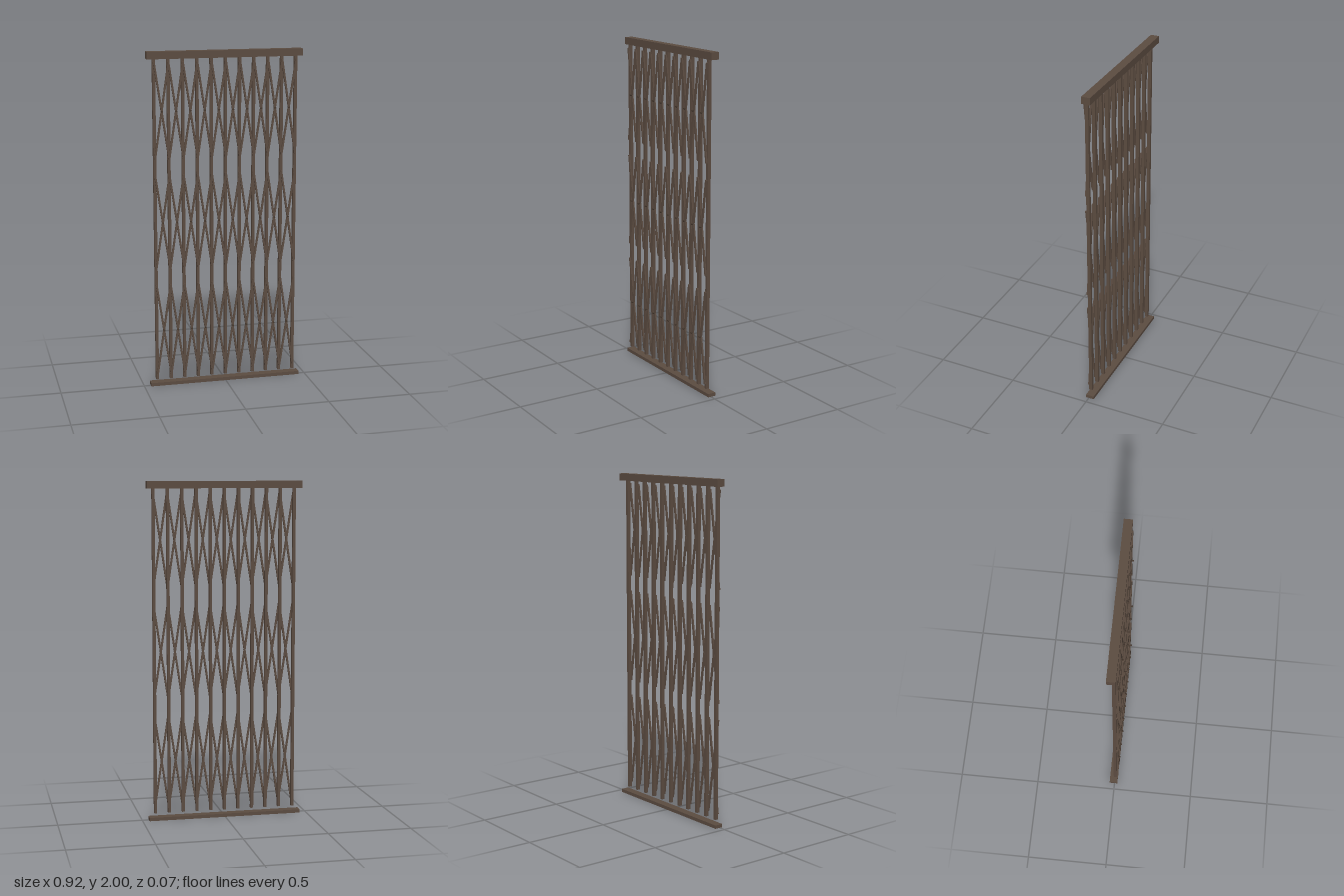
import * as THREE from 'three';

export function createModel() {
  const gate = new THREE.Group();
  gate.name = 'foldingGate';

  const iron = new THREE.MeshStandardMaterial({ color: 0x5c4c41 });
  iron.name = 'brown iron';
  const rivetIron = new THREE.MeshStandardMaterial({ color: 0x46392f });
  rivetIron.name = 'dark rivet iron';

  const add = (name, geometry, material, x, y, z) => {
    const mesh = new THREE.Mesh(geometry, material);
    mesh.name = name;
    mesh.position.set(x, y, z);
    gate.add(mesh);
    return mesh;
  };

  // Head and floor rails
  add('topRail', new THREE.BoxGeometry(0.92, 0.042, 0.05), iron, 0, 1.979, -0.009);
  add('bottomRail', new THREE.BoxGeometry(0.92, 0.02, 0.05), iron, 0, 0.01, -0.007);

  // Upright pickets
  const count = 11, pitch = 0.084;
  const pickX = i => (i - (count - 1) / 2) * pitch;
  const picket = new THREE.BoxGeometry(0.017, 1.92, 0.02);
  for (let i = 0; i < count; i++) add('picket', picket, iron, pickX(i), 1.0, 0.002);

  // Three rows of crossed lattice bars, with a rivet at each crossing
  const rise = 0.56;
  const bar = new THREE.BoxGeometry(0.011, Math.hypot(rise, pitch), 0.009);
  const rivet = new THREE.CylinderGeometry(0.005, 0.005, 0.012, 8).rotateX(Math.PI / 2);
  const lean = Math.atan2(pitch, rise);
  for (const y of [0.35, 1.005, 1.66]) {
    for (let i = 0; i < count - 1; i++) {
      const x = pickX(i) + pitch / 2;
      add('latticeBarRight', bar, iron, x, y, 0.0162).rotation.z = lean;
      add('latticeBarLeft', bar, iron, x, y, 0.0168).rotation.z = -lean;
      add('rivet', rivet, rivetIron, x, y, 0.026);
    }
  }
  return gate;
}
